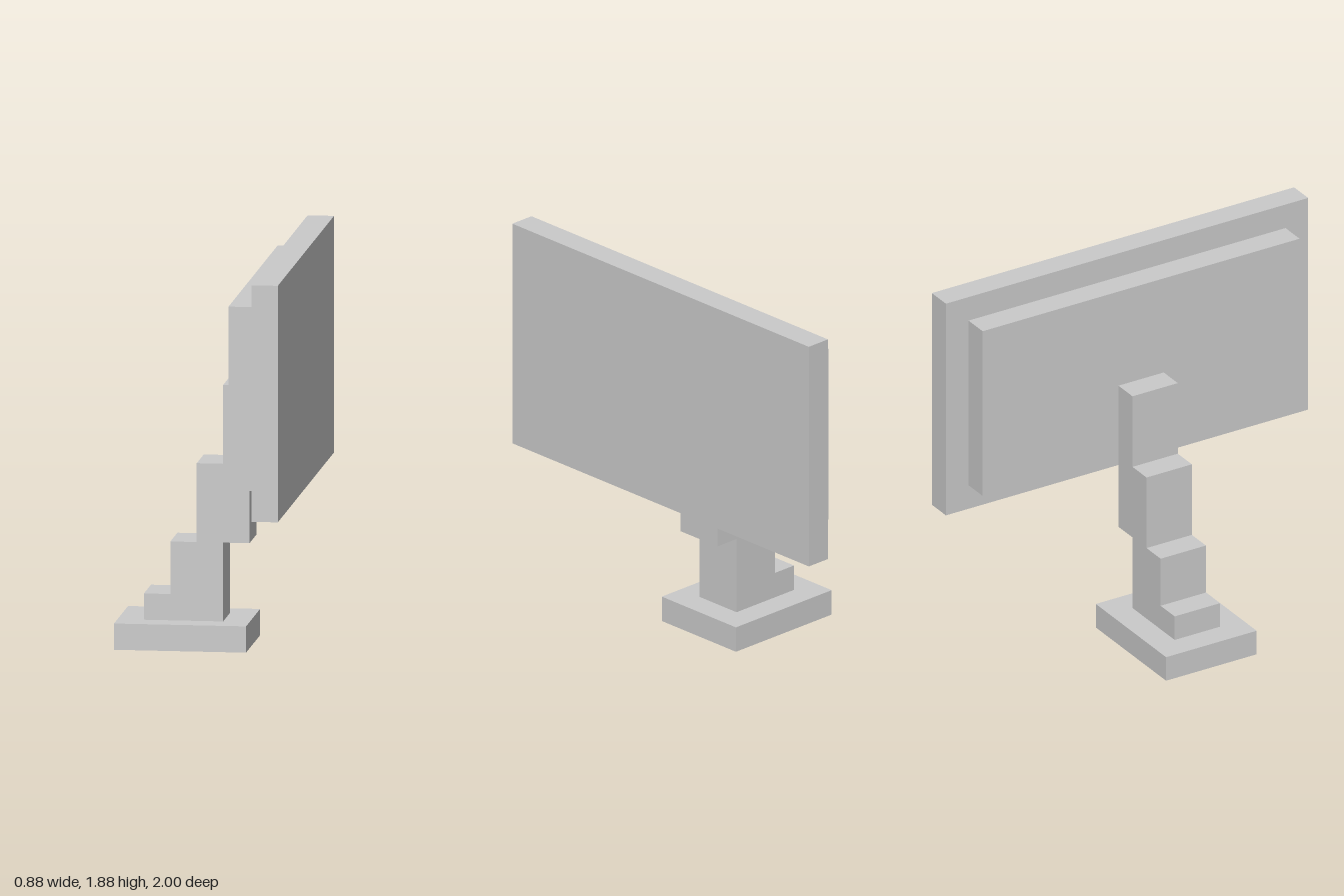
import * as THREE from 'three';

const material = new THREE.MeshStandardMaterial({ color: 0xcccccc, flatShading: true });

// Box given by its x and y ranges, centred on z = 0
function slab(name, x0, x1, y0, y1, depth) {
  const mesh = new THREE.Mesh(new THREE.BoxGeometry(x1 - x0, y1 - y0, depth), material);
  mesh.position.set((x0 + x1) / 2, (y0 + y1) / 2, 0);
  mesh.name = name;
  return mesh;
}

export function createModel() {
  const model = new THREE.Group();
  model.name = 'monitor';

  // Foot on the desk
  model.add(slab('base', -0.4375, 0.1875, 0, 0.125, 0.5));

  // Stepped stand: side profile extruded across z
  const profile = [
    [-0.3125, 0.125], [0.0625, 0.125], [0.0625, 0.5], [0.1875, 0.5],
    [0.1875, 1.25], [0.0625, 1.25], [0.0625, 0.875], [-0.0625, 0.875],
    [-0.0625, 0.5], [-0.1875, 0.5], [-0.1875, 0.25], [-0.3125, 0.25],
  ].map(([x, y]) => new THREE.Vector2(x, y));
  const standGeometry = new THREE.ExtrudeGeometry(new THREE.Shape(profile), { depth: 0.25, bevelEnabled: false });
  standGeometry.translate(0, 0, -0.125);
  const stand = new THREE.Mesh(standGeometry, material);
  stand.name = 'stand';
  model.add(stand);

  // Rear housing and the larger screen panel, facing +x
  model.add(slab('rearHousing', 0.1875, 0.3125, 0.875, 1.75, 1.75));
  model.add(slab('screen', 0.3125, 0.4375, 0.75, 1.875, 2));

  return model;
}
